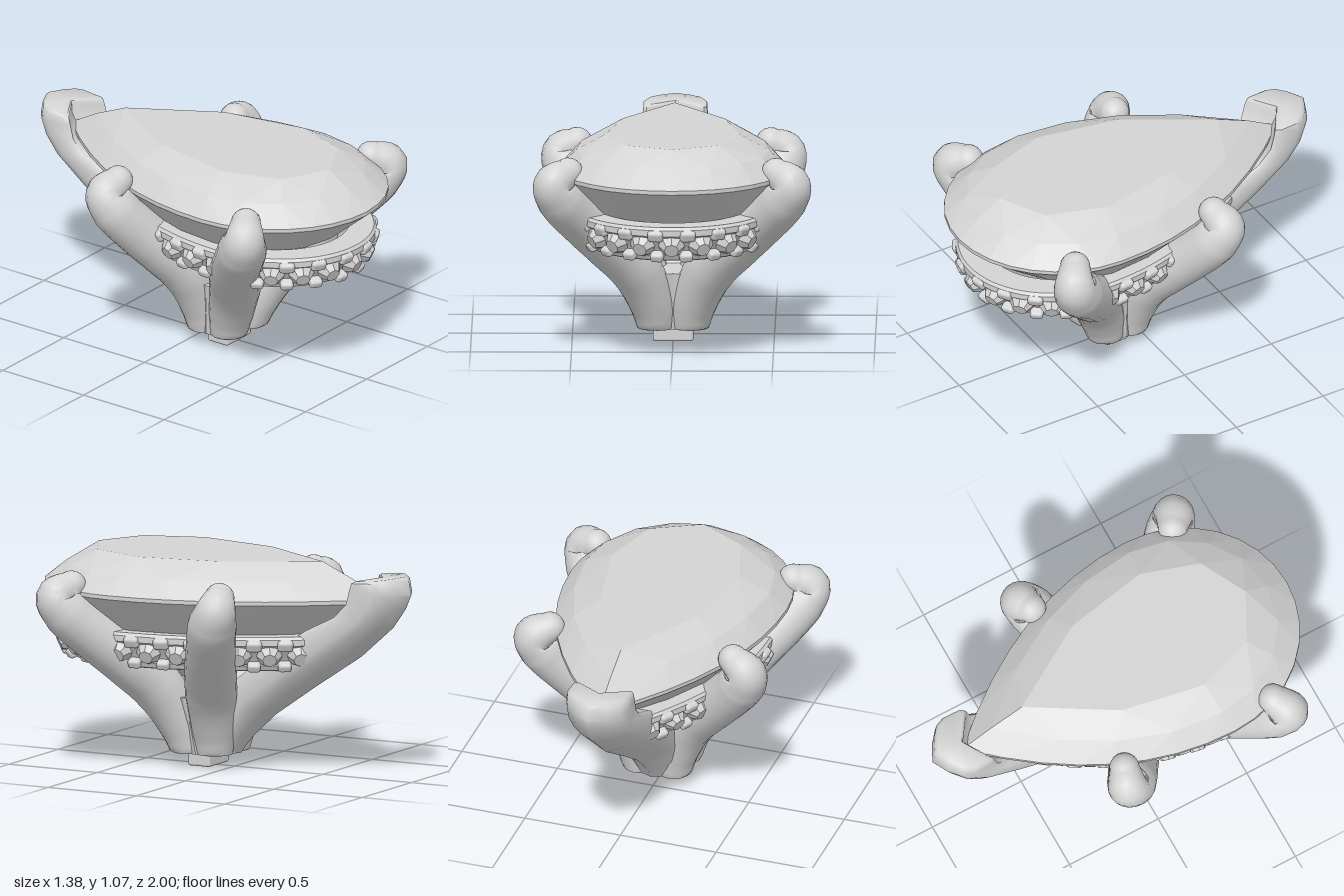
import * as THREE from 'three';
import { toCreasedNormals } from 'three/addons/utils/BufferGeometryUtils.js';
import { RoundedBoxGeometry } from 'three/addons/geometries/RoundedBoxGeometry.js';

const V = (x, y, z) => new THREE.Vector3(x, y, z);
const CZ = 0.25; // centre about which the pear outline is scaled

// Pear outline: s runs -2 (tip) .. 0 (round front) .. 2 (tip); dz slides it forward
function pear(s, sx, y, sz = sx, dz = 0) {
  const a = Math.abs(s), sg = Math.sign(s);
  let x, z;
  if (a <= 1) {
    x = 0.565 * Math.sin(s * Math.PI / 2);
    z = 0.4 + 0.6 * Math.cos(s * Math.PI / 2);
  } else {
    const u = a - 1;
    x = sg * 0.565 * (1 - Math.pow(u, 2.05));
    z = 0.4 - 1.23 * u;
  }
  return V(x * sx, y, CZ + (z - CZ) * sz + dz);
}
const pearRing = (n, sx, y, sz) =>
  Array.from({ length: n }, (_, i) => pear(-2 + 4 * i / n, sx, y, sz));

// Skin through rings of equal length; faces always end up pointing outwards
function loft(rings, loop, crease) {
  const m = rings[0].length, pts = rings.flat(), idx = [];
  const last = loop ? rings.length : rings.length - 1;
  for (let i = 0; i < last; i++) {
    const p = i * m, q = ((i + 1) % rings.length) * m;
    for (let j = 0; j < m; j++) {
      const k = (j + 1) % m;
      idx.push(p + j, p + k, q + k, p + j, q + k, q + j);
    }
  }
  if (!loop) {
    for (const [r, flip] of [[0, true], [rings.length - 1, false]]) {
      const c = rings[r].reduce((a, v) => a.add(v), V(0, 0, 0)).divideScalar(m);
      const ci = pts.push(c) - 1;
      for (let j = 0; j < m; j++) {
        const a = r * m + j, b = r * m + (j + 1) % m;
        idx.push(ci, flip ? b : a, flip ? a : b);
      }
    }
  }
  let vol = 0;
  for (let i = 0; i < idx.length; i += 3)
    vol += pts[idx[i]].dot(pts[idx[i + 1]].clone().cross(pts[idx[i + 2]]));
  if (vol < 0) idx.reverse();
  const g = new THREE.BufferGeometry().setFromPoints(pts);
  g.setIndex(idx);
  return toCreasedNormals(g, crease);
}

// Faceted pear stone: table, crown, girdle, pavilion
function gemGeometry() {
  const out = [];
  const tri = (a, b, c, flip) => (flip ? out.push(a, c, b) : out.push(a, b, c));
  // joins a ring of 2n points to one of n with alternating kites
  const halve = (A, B, flip) => {
    const n = B.length;
    for (let j = 0; j < n; j++) {
      const k = (j + 1) % n, a1 = A[2 * j + 1], a2 = A[(2 * j + 2) % (2 * n)];
      tri(A[2 * j], a1, B[j], flip);
      tri(a1, a2, B[k], flip);
      tri(a1, B[k], B[j], flip);
    }
  };
  const low = pearRing(32, 1, 0.885), high = pearRing(32, 1, 0.905);
  const mid = pearRing(16, 0.85, 0.995), table = pearRing(8, 0.59, 1.07, 0.69);
  const pav = pearRing(16, 0.7, 0.7), culet = V(0, 0.42, 0.28), top = V(0, 1.07, CZ);
  for (let i = 0; i < 32; i++) {
    const k = (i + 1) % 32;
    tri(low[i], low[k], high[k]);
    tri(low[i], high[k], high[i]);
  }
  halve(high, mid);
  halve(mid, table);
  halve(low, pav, true);
  table.forEach((p, i) => tri(p, table[(i + 1) % 8], top));
  pav.forEach((p, i) => tri(p, pav[(i + 1) % 16], culet, true));
  const g = new THREE.BufferGeometry().setFromPoints(out);
  g.computeVertexNormals();
  return g;
}

// Round claw: tapering tube along a path of [x, y, z, radius] with a domed tip
function prongGeometry(path, side) {
  const pts = path.map(p => V(p[0] * side, p[1], p[2]));
  const curve = new THREE.CatmullRomCurve3(pts);
  const shoulder = pts[pts.length - 3];
  const across = V(-(shoulder.z - 0.14), 0, shoulder.x).normalize();
  const rings = [];
  const ring = (c, t, r) => {
    const n = across.clone().cross(t).normalize(), b = t.clone().cross(n);
    rings.push(Array.from({ length: 20 }, (_, j) => {
      const a = j / 20 * Math.PI * 2;
      const p = c.clone().addScaledVector(n, r * Math.cos(a)).addScaledVector(b, r * Math.sin(a));
      p.y = Math.max(p.y, 0.07);
      return p;
    }));
  };
  const N = 42;
  for (let i = 0; i <= N; i++) {
    const f = i / N * (path.length - 1), k = Math.min(Math.floor(f), path.length - 2);
    ring(curve.getPoint(i / N), curve.getTangent(i / N),
      THREE.MathUtils.lerp(path[k][3], path[k + 1][3], f - k));
  }
  const c = curve.getPoint(1), t = curve.getTangent(1), r = path[path.length - 1][3];
  for (let i = 1; i <= 5; i++) {
    const a = i / 5 * 1.5;
    ring(c.clone().addScaledVector(t, r * Math.sin(a)), t, r * Math.cos(a));
  }
  return loft(rings, false, 1.2);
}

// V claw holding the tip; stations are [outer z, y, inner z, y, half width, notch]
function tipClawGeometry() {
  const stations = [
    [-0.035, 0.07, 0.14, 0.07, 0.12, 1], [-0.1, 0.155, 0.1, 0.2, 0.13, 1],
    [-0.235, 0.28, 0, 0.4, 0.142, 1], [-0.45, 0.43, -0.22, 0.57, 0.15, 1],
    [-0.72, 0.61, -0.48, 0.74, 0.157, 1], [-0.9, 0.77, -0.64, 0.82, 0.16, 0.9],
    [-0.97, 0.87, -0.71, 0.89, 0.16, 0.72], [-1, 0.94, -0.73, 0.97, 0.16, 0.64],
    [-0.985, 1.015, -0.74, 1.0, 0.157, 0.64], [-0.965, 1.03, -0.76, 1.01, 0.14, 0.64],
  ];
  const rings = stations.map(([oz, oy, iz, iy, w, notch]) =>
    [[0, 0], [0.5, 0.15], [0.88, 0.34], [1, 0.52], [1, 0.92], [0.9, 1], [0, notch],
      [-0.9, 1], [-1, 0.92], [-1, 0.52], [-0.88, 0.34], [-0.5, 0.15]].map(([x, f]) =>
      V(x * w, oy + (iy - oy) * f, oz + (iz - oz) * f)));
  return loft(rings, false, 0.95);
}

export function createModel() {
  const group = new THREE.Group();
  const silver = new THREE.MeshStandardMaterial({ color: 0xd4d4d4 });
  silver.name = 'silver grey';
  const add = (geo, name, parent = group) => {
    const m = new THREE.Mesh(geo, silver);
    m.name = name;
    parent.add(m);
    return m;
  };

  add(gemGeometry(), 'pearGem');

  // Claws
  const front = [[0.08, 0.05, 0.2, 0.09], [0.105, 0.2, 0.24, 0.112], [0.187, 0.39, 0.325, 0.13],
    [0.31, 0.53, 0.42, 0.13], [0.43, 0.655, 0.525, 0.124], [0.55, 0.8, 0.645, 0.122],
    [0.585, 0.88, 0.685, 0.102], [0.515, 0.93, 0.64, 0.075]];
  const rear = [[0.08, 0.05, 0.07, 0.09], [0.105, 0.2, 0.06, 0.112], [0.185, 0.39, 0.03, 0.13],
    [0.3, 0.53, -0.03, 0.13], [0.415, 0.655, -0.095, 0.124], [0.525, 0.8, -0.165, 0.122],
    [0.55, 0.88, -0.2, 0.102], [0.48, 0.93, -0.18, 0.075]];
  for (const side of [1, -1]) {
    const word = side > 0 ? 'left' : 'right';
    add(prongGeometry(front, side), word + 'FrontClaw');
    add(prongGeometry(rear, side), word + 'RearClaw');
  }
  add(tipClawGeometry(), 'tipClaw');

  // Web filling the space between the claws, and the peg under it
  const webRing = (y, half) => [...half, ...half.slice(1, -1).reverse().map(([x, z]) => [-x, z])]
    .map(([x, z]) => V(x, y, z));
  add(loft([
    webRing(0.07, [[0, 0.26], [0.12, 0.27], [0.165, 0.13], [0.11, 0], [0, -0.03]]),
    webRing(0.2, [[0, 0.285], [0.13, 0.31], [0.185, 0.145], [0.13, -0.01], [0, -0.08]]),
    webRing(0.36, [[0, 0.31], [0.17, 0.35], [0.22, 0.17], [0.17, -0.01], [0, -0.14]]),
  ], false, 0.4), 'baseWeb');
  const peg = add(new RoundedBoxGeometry(0.2, 0.1, 0.125, 2, 0.012), 'peg');
  peg.position.set(0, 0.05, 0.15);

  // Gallery: a band leaning outwards with a ledge above and below the stones
  const SLIDE = 0.035;
  const section = [[0.66, 0.71, 0.7], [0.83, 0.71, 0.87], [0.85, 0.695, 0.885],
    [0.85, 0.665, 0.885], [0.81, 0.65, 0.85], [0.75, 0.57, 0.795], [0.77, 0.56, 0.805],
    [0.75, 0.535, 0.785], [0.73, 0.53, 0.77], [0.64, 0.53, 0.68]];
  const bandRings = Array.from({ length: 72 }, (_, i) =>
    section.map(([sx, y, sz]) => pear(-2 + 4 * i / 72, sx, y, sz, SLIDE)));
  add(loft(bandRings, true, 0.6), 'galleryBand');

  // Accent stones with bead pairs between them, evenly spaced round the band
  const accents = new THREE.Group();
  accents.name = 'accentStones';
  group.add(accents);
  const track = new THREE.CatmullRomCurve3(Array.from({ length: 160 }, (_, i) =>
    pear((i <= 80 ? i : i - 160) / 40, 0.81, 0.61, 0.85, SLIDE)), true);
  track.arcLengthDivisions = 600;
  const stoneGeo = new THREE.CylinderGeometry(0.036, 0.066, 0.045, 8).toNonIndexed();
  stoneGeo.rotateX(Math.PI / 2);
  stoneGeo.computeVertexNormals();
  const upperBead = new RoundedBoxGeometry(0.078, 0.058, 0.065, 2, 0.018);
  const lowerBead = new RoundedBoxGeometry(0.066, 0.046, 0.065, 2, 0.016);
  const COUNT = 25;
  // anything further back than rearLimit would be hidden inside the tip claw
  const place = (geo, name, u, y, out, rearLimit) => {
    const p = track.getPointAt(u), t = track.getTangentAt(u);
    if (p.z < rearLimit) return;
    const n = V(-t.z, 0, t.x);
    const m = add(geo, name, accents);
    m.position.copy(p).addScaledVector(n, out);
    m.position.y = y;
    const aim = m.position.clone().add(n);
    aim.y -= 0.45;
    m.lookAt(aim);
  };
  for (let i = 0; i < COUNT; i++) {
    const u = i / COUNT, v = (i + 0.5) / COUNT;
    place(stoneGeo, 'accentStone', u, 0.602, 0, -0.5);
    place(upperBead, 'upperBead', v, 0.67, 0.008, -0.58);
    place(lowerBead, 'lowerBead', v, 0.558, -0.03, -0.5);
  }
  return group;
}
